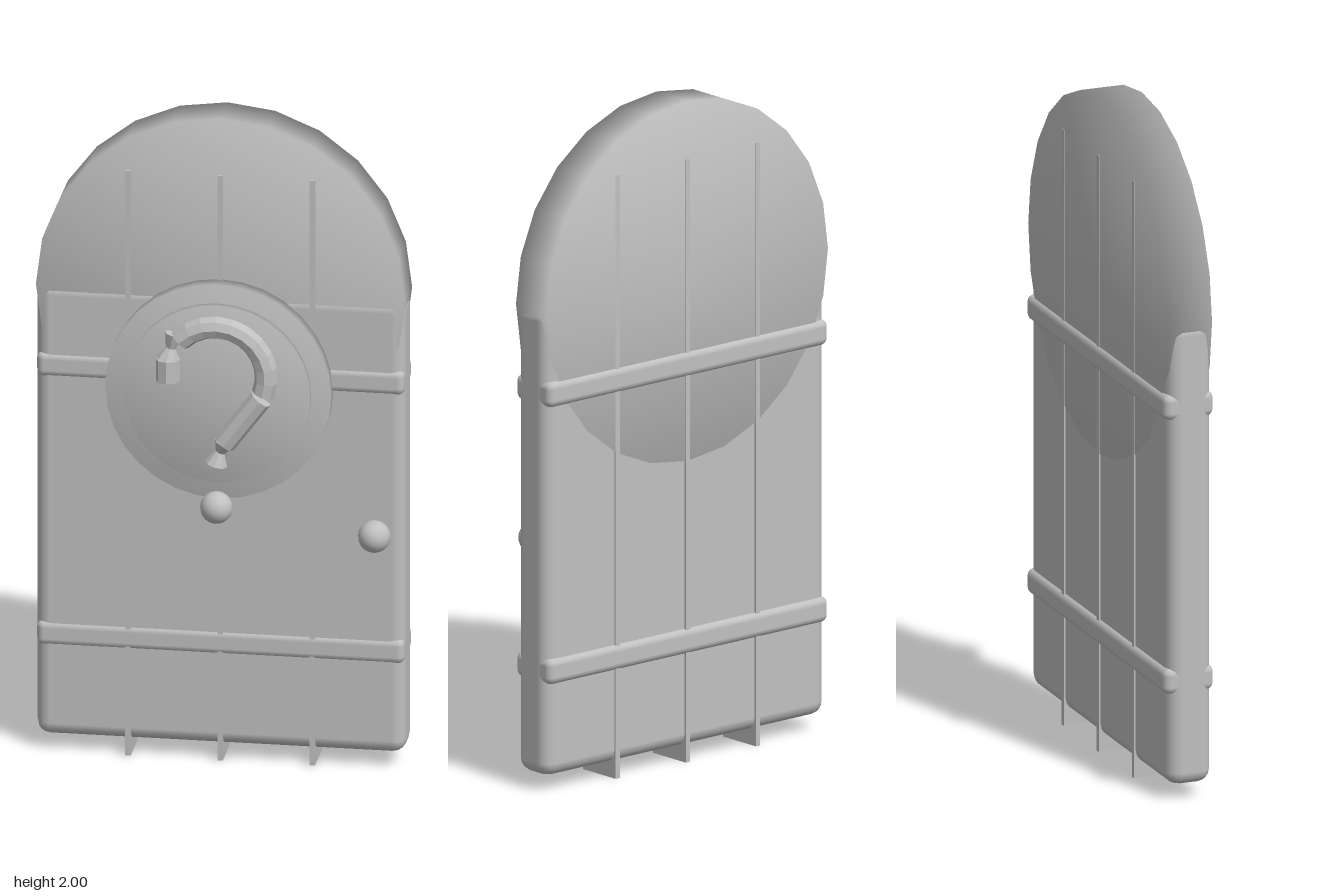
import * as THREE from 'three';
import { mergeVertices } from 'three/addons/utils/BufferGeometryUtils.js';
import { RoundedBoxGeometry } from 'three/addons/geometries/RoundedBoxGeometry.js';

export function createModel() {
  const door = new THREE.Group();
  door.name = 'archedDoor';
  const grey = new THREE.MeshStandardMaterial({ color: 0xc0c0c0 });
  grey.name = 'grey';

  function add(name, geometry, x, y, z) {
    const mesh = new THREE.Mesh(geometry, grey);
    mesh.name = name;
    mesh.position.set(x, y, z);
    door.add(mesh);
    return mesh;
  }

  // Disc facing +z, with normals blended over its rim
  function disc(name, radius, sides, y, zBack, zFront) {
    let g = new THREE.CylinderGeometry(radius, radius, zFront - zBack, sides).rotateX(Math.PI / 2);
    g.deleteAttribute('normal');
    g.deleteAttribute('uv');
    g = mergeVertices(g, 1e-4);
    g.computeVertexNormals();
    return add(name, g, 0, y, (zBack + zFront) / 2);
  }

  // Slab and the round arch on top of it
  add('doorSlab', new RoundedBoxGeometry(1.09, 1.415, 0.137, 2, 0.04), 0, 0.753, -0.056);
  disc('archTop', 0.545, 24, 1.456, -0.128, 0.009);

  // Thin vertical plank seams running through the slab
  for (const x of [-0.272, 0, 0.272]) {
    add('plankSeam', new THREE.BoxGeometry(0.016, 1.825, 0.146), x, 0.9125, -0.057);
  }

  // Horizontal bands wrapping the door
  for (const y of [0.367, 1.205]) {
    add('crossBand', new RoundedBoxGeometry(1.086, 0.078, 0.157, 2, 0.022), 0, y, -0.06);
  }

  // Stepped round plaque
  disc('plaqueBase', 0.333, 32, 1.167, 0, 0.055);
  disc('plaqueFace', 0.275, 32, 1.167, 0.03, 0.078);

  // Knobs
  add('bellKnob', new THREE.SphereGeometry(0.048, 16, 12), 0, 0.817, 0.087);
  add('doorKnob', new THREE.SphereGeometry(0.048, 16, 12), 0.457, 0.73, 0.027);

  // Faceted hook: short end, arc, straight shank and pointed tail
  const hookZ = 0.092;
  function rod(name, x1, y1, x2, y2, r1, r2) {
    const a = new THREE.Vector3(x1, y1, 0), b = new THREE.Vector3(x2, y2, 0);
    const dir = b.clone().sub(a);
    const g = new THREE.CylinderGeometry(r2, r1, dir.length(), 8).toNonIndexed();
    g.computeVertexNormals();
    const mesh = add(name, g, (x1 + x2) / 2, (y1 + y2) / 2, hookZ);
    mesh.quaternion.setFromUnitVectors(new THREE.Vector3(0, 1, 0), dir.normalize());
  }
  const arc = new THREE.TorusGeometry(0.148, 0.034, 8, 10, 2.75).rotateZ(-0.37).toNonIndexed();
  arc.computeVertexNormals();
  add('hookArc', arc, 0, 1.233, hookZ);
  const cap = new THREE.CircleGeometry(0.034, 8);
  // Close both ends of the arc
  for (const [angle, turn] of [[-0.37, Math.PI / 2], [2.38, -Math.PI / 2]]) {
    const end = add('hookArcEnd', cap, 0.148 * Math.cos(angle), 1.233 + 0.148 * Math.sin(angle), hookZ);
    end.rotation.set(turn, angle, 0, 'ZXY');
    end.rotation.set(turn, 0, angle, 'ZXY');
  }
  rod('hookTip', -0.142, 1.208, -0.142, 1.275, 0.036, 0.036);
  rod('hookTipNeck', -0.142, 1.275, -0.134, 1.315, 0.036, 0.012);
  rod('hookBarb', -0.136, 1.3, -0.125, 1.355, 0.012, 0.026);
  rod('hookShank', 0.132, 1.165, 0.024, 1.02, 0.034, 0.034);
  rod('hookShankNeck', 0.024, 1.02, 0.01, 0.99, 0.03, 0.012);
  rod('hookTail', 0, 0.955, 0.012, 1.0, 0.034, 0.01);

  return door;
}
